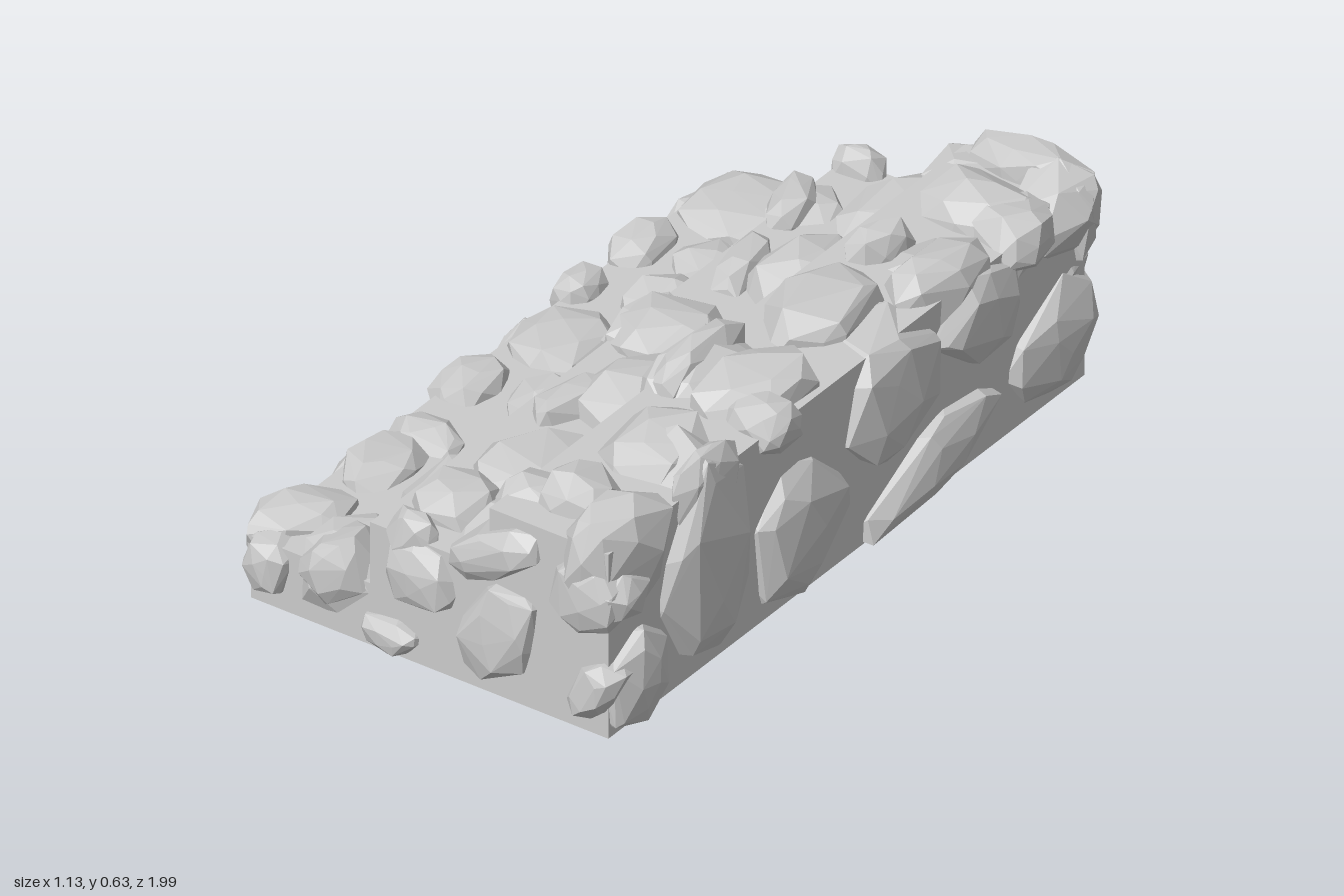
import * as THREE from 'three';
import { ConvexGeometry } from 'three/addons/geometries/ConvexGeometry.js';

const material = new THREE.MeshStandardMaterial({ color: 0xcccccc, flatShading: true, side: THREE.DoubleSide });

let seed = 7;
function rand() {
  seed = (seed * 16807) % 2147483647;
  return seed / 2147483647;
}

const X = new THREE.Vector3(1, 0, 0), Y = new THREE.Vector3(0, 1, 0), Z = new THREE.Vector3(0, 0, 1);
const neg = (v) => v.clone().negate();

// One faceted boulder set in a surface: a shallow worn cap outside, a deep, wider belly inside.
// u, v lie in the surface, n points out of it.
function stone({ u, v, n, at, rise, deep }, [a, b, ha, hb, tilt = 0, cap = rise]) {
  const belly = THREE.MathUtils.clamp((ha + hb) * 1.05, 0.1, deep);
  const cos = Math.cos(tilt), sin = Math.sin(tilt);
  const points = [], count = 28, turn = rand() * 6.28;
  for (let i = 0; i < count; i++) {
    // spiral over a sphere, jittered and swollen towards a box
    const c = THREE.MathUtils.clamp(1 - (2 * i + 1) / count + (rand() - 0.5) * 0.2, -0.97, 0.97);
    const r = Math.sqrt(1 - c * c), t = turn + i * 2.4 + (rand() - 0.5) * 0.7;
    const d = [r * Math.cos(t), r * Math.sin(t), c];
    const swell = (0.9 + rand() * 0.16) / d.reduce((s, k) => s + Math.abs(k) ** 2.6, 0) ** (1 / 2.6);
    const spread = swell * (c > 0 ? 1.06 : 1.14);
    const pa = d[0] * spread * ha, pb = d[1] * spread * hb;
    const p = new THREE.Vector3()
      .addScaledVector(u, a + pa * cos - pb * sin)
      .addScaledVector(v, b + pa * sin + pb * cos)
      .addScaledVector(n, at + d[2] * swell * (c > 0 ? cap : belly));
    // worn flat where it would stick out too far
    p.x = THREE.MathUtils.clamp(p.x, -0.563, 0.563);
    p.y = THREE.MathUtils.clamp(p.y, 0.003, 0.63);
    p.z = THREE.MathUtils.clamp(p.z, -0.998, 0.995);
    points.push(p);
  }
  return new THREE.Mesh(new ConvexGeometry(points), material);
}

// Stones per surface: [along u, along v, half width, half height, tilt, height above surface]
const faces = {
  frontStones: { u: X, v: Y, n: Z, at: 0.95, rise: 0.045, deep: 0.24, list: [
    [-0.46, 0.14, 0.06, 0.07], [-0.27, 0.2, 0.09, 0.075, 0.7], [-0.11, 0.085, 0.075, 0.045],
    [-0.02, 0.28, 0.095, 0.085], [0.2, 0.21, 0.095, 0.14, -0.5], [0.19, 0.42, 0.13, 0.06, 0.5],
    [0.44, 0.4, 0.085, 0.095], [0.47, 0.15, 0.05, 0.09, -0.5]] },
  backStones: { u: X, v: Y, n: neg(Z), at: 0.94, rise: 0.05, deep: 0.26, list: [
    [0.46, 0.5, 0.09, 0.1], [0.38, 0.24, 0.1, 0.2, -0.4], [0.18, 0.24, 0.09, 0.2, 0.15],
    [0.2, 0.47, 0.09, 0.07], [0.01, 0.21, 0.08, 0.16, -0.2], [-0.14, 0.17, 0.08, 0.12, 0.3],
    [-0.35, 0.13, 0.13, 0.08, 0.15]] },
  tallSideStones: { u: Z, v: Y, n: X, at: 0.51, rise: 0.05, deep: 0.33, list: [
    [0.89, 0.4, 0.08, 0.06], [0.84, 0.15, 0.115, 0.12], [0.57, 0.33, 0.165, 0.26, 0.12],
    [0.2, 0.22, 0.175, 0.175], [-0.17, 0.38, 0.175, 0.16], [-0.32, 0.13, 0.265, 0.085, -0.25],
    [-0.51, 0.43, 0.165, 0.12, 0.25], [-0.82, 0.2, 0.16, 0.13, -0.5], [-0.71, 0.53, 0.09, 0.08],
    [0.28, 0.54, 0.07, 0.06]] },
  lowSideStones: { u: Z, v: Y, n: neg(X), at: 0.51, rise: 0.05, deep: 0.2, list: [
    [-0.82, 0.14, 0.1, 0.06, 0.3], [-0.58, 0.13, 0.09, 0.07], [-0.35, 0.14, 0.07, 0.05],
    [-0.13, 0.13, 0.09, 0.06, -0.4], [0.11, 0.14, 0.09, 0.07], [0.3, 0.12, 0.07, 0.06, 0.5],
    [0.51, 0.13, 0.1, 0.07], [0.69, 0.11, 0.05, 0.05], [0.86, 0.13, 0.08, 0.07]] },
  topTreadStones: { u: X, v: Z, n: Y, at: 0.54, rise: 0.08, deep: 0.32, list: [
    [0.37, -0.93, 0.17, 0.06], [0.37, -0.73, 0.15, 0.11], [0.27, -0.46, 0.05, 0.08, 0.4],
    [0.45, -0.44, 0.075, 0.15, 0.2], [0.31, -0.16, 0.11, 0.17], [0.21, 0.18, 0.05, 0.16],
    [0.38, 0.19, 0.1, 0.16, 0.2], [0.35, 0.52, 0.12, 0.14], [0.5, 0.55, 0.04, 0.12],
    [0.31, 0.79, 0.09, 0.09], [0.46, 0.85, 0.085, 0.13, 0.3]] },
  middleTreadStones: { u: X, v: Z, n: Y, at: 0.37, rise: 0.065, deep: 0.28, list: [
    [-0.12, -0.92, 0.07, 0.045], [0.07, -0.82, 0.11, 0.15], [-0.15, -0.7, 0.055, 0.1, -0.3],
    [-0.09, -0.42, 0.05, 0.12, -0.2], [0.07, -0.46, 0.12, 0.16, 0, 0.09], [-0.07, -0.1, 0.125, 0.13],
    [0.06, 0.18, 0.14, 0.17, 0, 0.09], [-0.08, 0.28, 0.055, 0.11, 0.2], [0.03, 0.55, 0.15, 0.14],
    [-0.05, 0.77, 0.1, 0.1], [0.13, 0.82, 0.1, 0.1, 0, 0.1], [-0.06, 0.93, 0.06, 0.04]] },
  lowTreadStones: { u: X, v: Z, n: Y, at: 0.2, rise: 0.05, deep: 0.17, list: [
    [-0.38, -0.83, 0.14, 0.14], [-0.49, -0.57, 0.065, 0.1], [-0.3, -0.58, 0.1, 0.08, 0.5],
    [-0.28, -0.39, 0.11, 0.1, 0, 0.07], [-0.5, -0.34, 0.05, 0.07], [-0.4, -0.13, 0.11, 0.13],
    [-0.22, -0.12, 0.05, 0.12, 0, 0.07], [-0.47, 0.13, 0.07, 0.1], [-0.26, 0.12, 0.09, 0.1, 0, 0.08],
    [-0.42, 0.38, 0.09, 0.06], [-0.44, 0.53, 0.08, 0.12], [-0.23, 0.56, 0.08, 0.15, 0, 0.08],
    [-0.47, 0.81, 0.08, 0.13, 0.6], [-0.28, 0.86, 0.11, 0.11, 0, 0.07]] },
  lowRiserStones: { u: Z, v: Y, n: neg(X), at: 0.17, rise: 0.035, deep: 0.2, list: [
    [-0.72, 0.34, 0.09, 0.06], [-0.1, 0.33, 0.11, 0.08]] },
  highRiserStones: { u: Z, v: Y, n: neg(X), at: -0.17, rise: 0.05, deep: 0.2, list: [
    [0.18, 0.49, 0.16, 0.1], [0.82, 0.48, 0.08, 0.08]] },
};

// Stepped block, open underneath
function stepBlock() {
  const corners = [[-0.51, 0.03], [0.51, 0.03], [0.51, 0.54], [0.17, 0.54], [0.17, 0.37],
    [-0.17, 0.37], [-0.17, 0.2], [-0.51, 0.2]];
  const shape = new THREE.Shape(corners.map(([x, y]) => new THREE.Vector2(x, y)));
  const solid = new THREE.ExtrudeGeometry(shape, { depth: 1.89, bevelEnabled: false }).translate(0, 0, -0.94);
  const source = solid.attributes.position.array, kept = [];
  for (let i = 0; i < source.length; i += 9) {
    const isFloor = [1, 4, 7].every((k) => source[i + k] < 0.04);
    if (!isFloor) kept.push(...source.slice(i, i + 9));
  }
  const geometry = new THREE.BufferGeometry();
  geometry.setAttribute('position', new THREE.Float32BufferAttribute(kept, 3));
  geometry.computeVertexNormals();
  const mesh = new THREE.Mesh(geometry, material);
  mesh.name = 'stepBlock';
  return mesh;
}

export function createModel() {
  const model = new THREE.Group();
  model.name = 'stoneSteps';
  model.add(stepBlock());
  for (const [name, face] of Object.entries(faces)) {
    const group = new THREE.Group();
    group.name = name;
    face.list.forEach((entry, i) => {
      const mesh = stone(face, entry);
      mesh.name = `stone${i + 1}`;
      group.add(mesh);
    });
    model.add(group);
  }
  return model;
}
